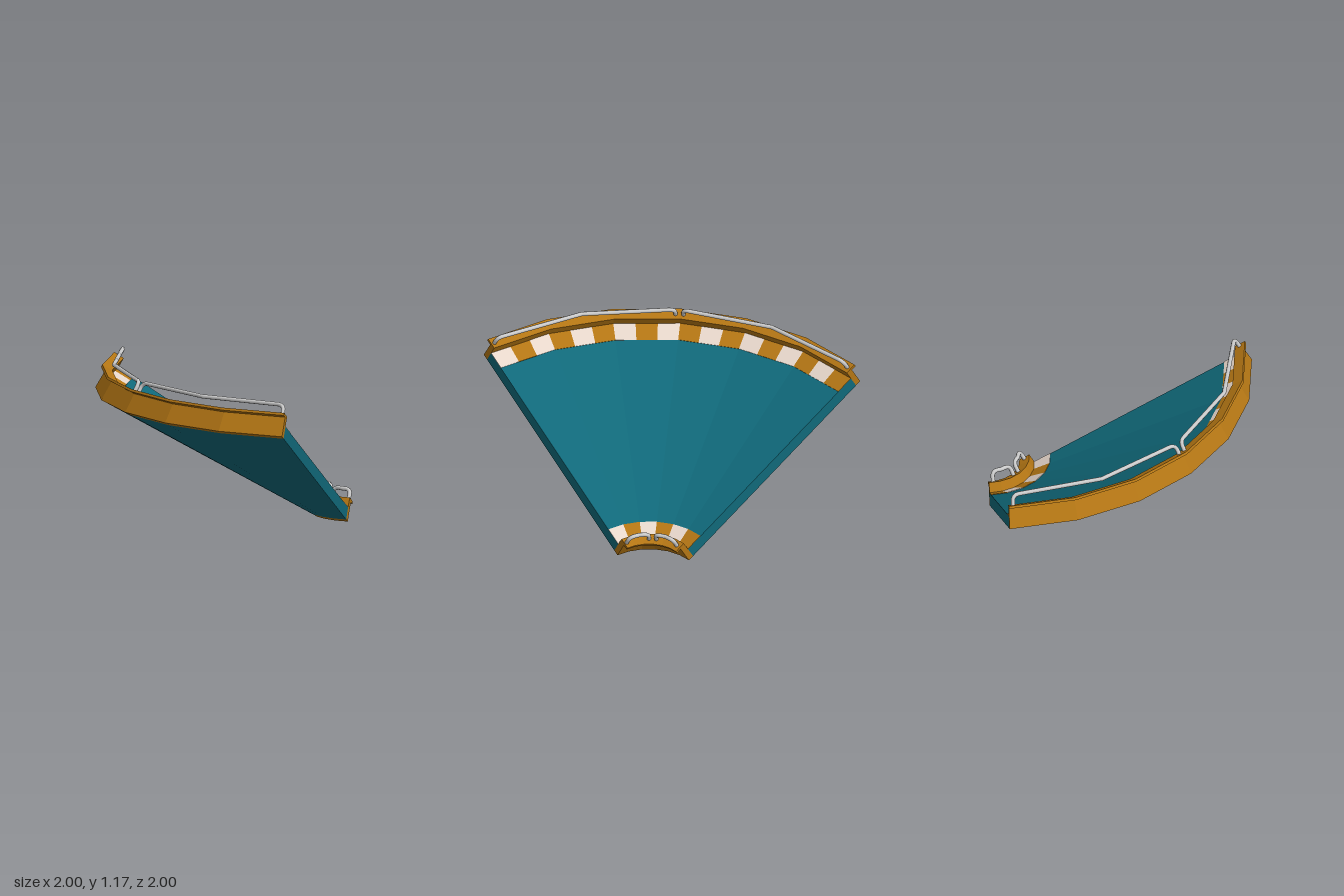
import * as THREE from 'three';

const TILT = Math.PI / 6, C = Math.cos(TILT), S = Math.sin(TILT);
const R0 = 0.38, L = 1.871;          // inner radius, width of the bank along its slope
const FACETS = 6, STEP = Math.PI / 2 / FACETS;
const THICK = 0.095, WALL = 0.045, HIGH = 0.175, LIP = 0.04, STRIPE = 0.137;

const mat = (color) => new THREE.MeshStandardMaterial({ color, flatShading: true });
const teal = mat(0x10697a), amber = mat(0xb47614), cream = mat(0xe6d6ca);
const steel = new THREE.MeshStandardMaterial({ color: 0xcccccc });

// s runs up the slope, n is perpendicular to it
const toProfile = ([s, n]) => [R0 + s * C - n * S, s * S + n * C];

// Point at an angle around the turn's centre in the corner (1, -1)
const polar = (r, y, a) => new THREE.Vector3(1 - r * Math.cos(a), y, -1 + r * Math.sin(a));

// Point on the faceted turn; t counts facets, fractions lie on the straight chord
function onFacet([r, y], t) {
  const k = Math.min(Math.floor(t + 1e-6), FACETS - 1);
  return polar(r, y, k * STEP).lerp(polar(r, y, (k + 1) * STEP), t - k);
}

// Sweeps a counter-clockwise (s, n) section through the given facet stations
function sweep(name, section, stations, material) {
  const profile = section.map(toProfile);
  const rings = stations.map((t) => profile.map((p) => onFacet(p, t)));
  const pts = [];
  for (let k = 0; k < rings.length - 1; k++) {
    profile.forEach((_, i) => {
      const j = (i + 1) % profile.length, A = rings[k], B = rings[k + 1];
      pts.push(A[i], B[i], B[j], A[i], B[j], A[j]);
    });
  }
  const first = rings[0], last = rings[rings.length - 1];
  const caps = THREE.ShapeUtils.triangulateShape(profile.map((p) => new THREE.Vector2(...p)), []);
  for (const [a, b, c] of caps) pts.push(first[a], first[b], first[c], last[a], last[c], last[b]);
  const geo = new THREE.BufferGeometry().setFromPoints(pts);
  geo.computeVertexNormals();
  const mesh = new THREE.Mesh(geo, material);
  mesh.name = name;
  return mesh;
}

const rect = (s0, s1, n0, n1) => [[s0, n0], [s1, n0], [s1, n1], [s0, n1]];
const mirror = (section) => section.map(([s, n]) => [L - s, n]).reverse();

// Bent handrail: leaning post, rounded corner, rail with one kink, corner, post
function handrail(name, footS, a0, a1, bend) {
  const at = (n, a) => polar(...toProfile([footS, n]), a);
  const foot0 = at(HIGH - 0.01, a0), foot1 = at(HIGH - 0.01, a1);
  const top0 = at(HIGH + 0.08, a0), top1 = at(HIGH + 0.08, a1);
  const mid = at(HIGH + 0.08, (a0 + a1) / 2);
  const toward = (p, q) => p.clone().add(q.clone().sub(p).setLength(bend));
  const path = new THREE.CurvePath();
  const line = (p, q) => path.add(new THREE.LineCurve3(p, q));
  const corner = (p, c, q) => path.add(new THREE.QuadraticBezierCurve3(p, c, q));
  const up0 = toward(top0, foot0), in0 = toward(top0, mid);
  const in1 = toward(top1, mid), up1 = toward(top1, foot1);
  line(foot0, up0);
  corner(up0, top0, in0);
  line(in0, mid);
  line(mid, in1);
  corner(in1, top1, up1);
  line(up1, foot1);
  const mesh = new THREE.Mesh(new THREE.TubeGeometry(path, 80, 0.016, 8), steel);
  mesh.name = name;
  return mesh;
}

export function createModel() {
  const model = new THREE.Group();
  model.name = 'bankedTurn';
  const all = Array.from({ length: FACETS + 1 }, (_, i) => i);

  // Sloping road slab
  model.add(sweep('roadSlab', rect(WALL, L - WALL, 0, THICK), all, teal));

  // Edge walls with an outward lip
  const wall = [[0, 0], [WALL, 0], [WALL, HIGH], [-LIP, HIGH], [-LIP, HIGH - 0.02], [0, HIGH - 0.02]];
  model.add(sweep('innerWall', wall, all, amber), sweep('outerWall', mirror(wall), all, amber));

  // Alternating kerb stripes along both walls
  const kerb = rect(WALL, WALL + STRIPE, THICK, THICK + 0.004);
  for (const [name, section, count] of [['innerKerb', kerb, 6], ['outerKerb', mirror(kerb), 18]]) {
    const group = new THREE.Group();
    group.name = name;
    for (let i = 0; i < count; i++) {
      const t = [i, i + 1].map((k) => (k * FACETS) / count);
      group.add(sweep('kerbStripe', section, t, i % 2 ? cream : amber));
    }
    model.add(group);
  }

  // Two handrails on each wall, one per half of the turn
  const half = Math.PI / 4;
  for (let i = 0; i < 2; i++) {
    model.add(handrail('outerHandrail', L - 0.008, i * half + 0.018, (i + 1) * half - 0.014, 0.05));
    model.add(handrail('innerHandrail', 0.003, i * half + 0.12, (i + 1) * half - 0.07, 0.045));
  }
  return model;
}
